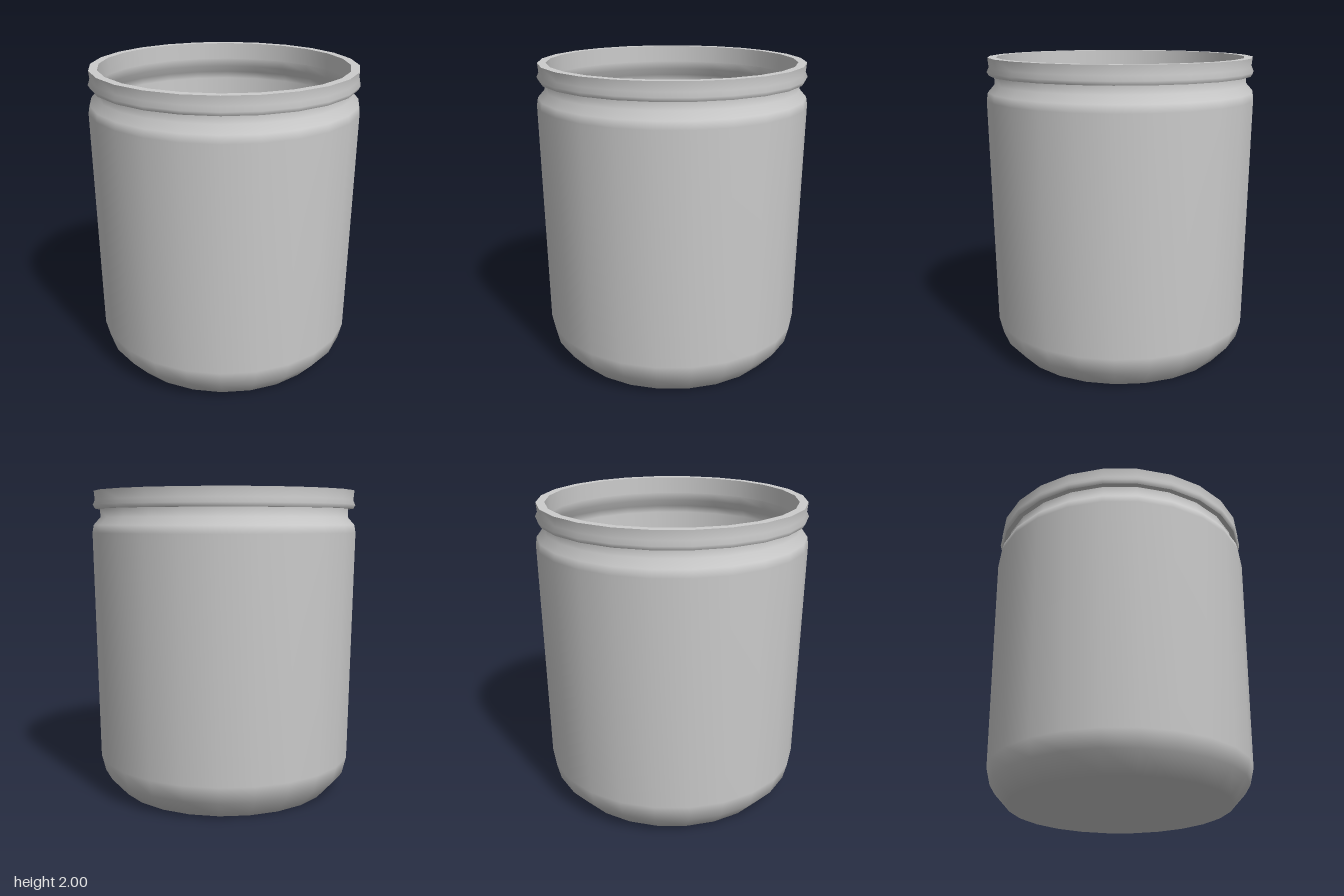
import * as THREE from 'three';

const SIDES = 24;

export function createModel() {
  const model = new THREE.Group();
  model.name = 'jar';
  const material = new THREE.MeshStandardMaterial({ color: 0xcccccc });

  // Each profile is one smooth section; separate sections meet in sharp edges.
  // Outer profiles run upwards, inner ones downwards, so faces point out of the wall.
  function turn(name, profile) {
    const points = profile.map(([r, y]) => new THREE.Vector2(r, y));
    const geometry = new THREE.LatheGeometry(points, SIDES, Math.PI / SIDES, Math.PI * 2);
    const mesh = new THREE.Mesh(geometry, material);
    mesh.name = name;
    model.add(mesh);
  }

  // Rounded base, slightly flaring wall, shoulder and neck
  turn('outerBody', [
    [0, 0], [0.722, 0], [0.83, 0.12], [0.857, 0.23],
    [0.882, 1.73], [0.873, 1.78], [0.829, 1.83], [0.829, 1.885],
  ]);

  // Rim: underside, beaded outside, flat top and inner band
  turn('rimUnderside', [[0.829, 1.885], [0.862, 1.885]]);
  turn('rimBead', [[0.862, 1.885], [0.876, 1.91], [0.862, 1.94], [0.868, 2]]);
  turn('rimTop', [[0.868, 2], [0.813, 2]]);
  turn('rimInside', [[0.813, 2], [0.813, 1.885]]);

  // Thin inner wall and floor
  turn('innerBody', [
    [0.813, 1.885], [0.815, 1.83], [0.86, 1.78], [0.868, 1.73],
    [0.843, 0.23], [0.816, 0.126], [0.715, 0.014], [0, 0.014],
  ]);

  return model;
}
